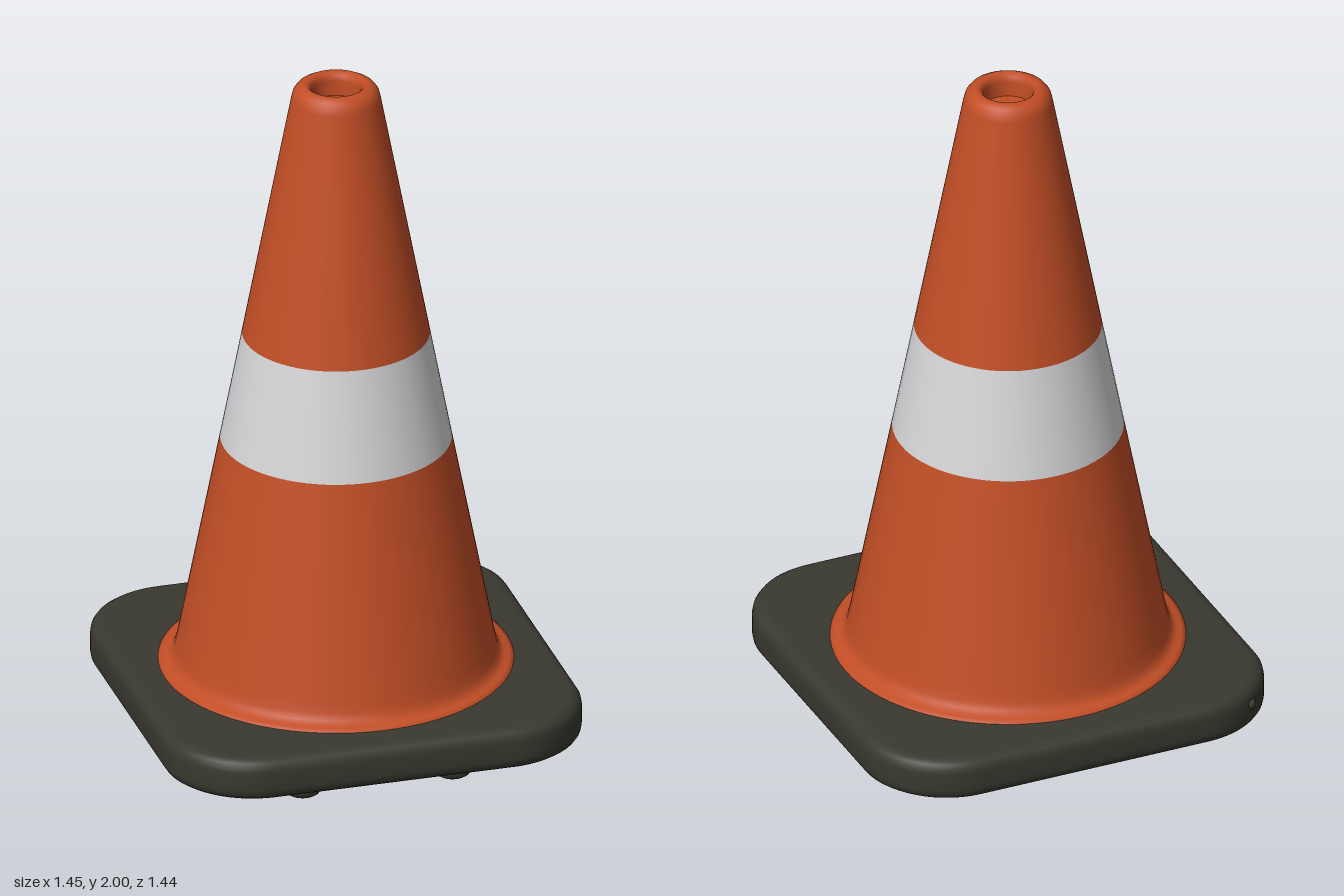
import * as THREE from 'three';
import { toCreasedNormals } from 'three/addons/utils/BufferGeometryUtils.js';

const TURN = -THREE.MathUtils.degToRad(24); // the base sits turned under the cone

// Rounded slab lying flat, from y0 to y1, with softened edges
function slab(width, depth, radius, y0, y1, bevel) {
  const x = width / 2 - radius, y = depth / 2 - radius;
  const shape = new THREE.Shape();
  shape.absarc(x, y, radius, 0, Math.PI / 2);
  shape.absarc(-x, y, radius, Math.PI / 2, Math.PI);
  shape.absarc(-x, -y, radius, Math.PI, Math.PI * 1.5);
  shape.absarc(x, -y, radius, Math.PI * 1.5, Math.PI * 2);
  shape.closePath();
  const geo = new THREE.ExtrudeGeometry(shape, {
    depth: y1 - y0 - 2 * bevel, curveSegments: 12,
    bevelThickness: bevel, bevelSize: bevel, bevelOffset: -bevel, bevelSegments: 4,
  });
  geo.translate(0, 0, bevel);
  geo.rotateX(-Math.PI / 2);
  geo.translate(0, y0, 0);
  return toCreasedNormals(geo, 0.7);
}

function lathe(points) {
  return new THREE.LatheGeometry(points.map(([r, y]) => new THREE.Vector2(r, y)), 72);
}

export function createModel() {
  const orange = new THREE.MeshStandardMaterial({ color: 0xc24e26 });
  orange.name = 'orange plastic';
  const white = new THREE.MeshStandardMaterial({ color: 0xd6d6d9 });
  white.name = 'white band';
  const rubber = new THREE.MeshStandardMaterial({ color: 0x393930 });
  rubber.name = 'dark rubber';

  const model = new THREE.Group();
  model.name = 'trafficCone';
  const add = (name, geo, mat, parent = model) => {
    const mesh = new THREE.Mesh(geo, mat);
    mesh.name = name;
    parent.add(mesh);
    return mesh;
  };

  // Cone wall: flared foot, band, then tip with rounded lip and recessed hole
  add('lowerCone', lathe([
    [0.505, 0.19], [0.503, 0.207], [0.49, 0.213], [0.475, 0.216], [0.463, 0.226],
    [0.456, 0.245], [0.449, 0.275], [0.328, 0.9],
  ]), orange);
  add('reflectiveBand', lathe([[0.328, 0.9], [0.266, 1.225]]), white);
  add('upperCone', lathe([
    [0.266, 1.225], [0.127, 1.955], [0.122, 1.975], [0.111, 1.99], [0.095, 1.999],
    [0.082, 1.998], [0.073, 1.99], [0.07, 1.975], [0.07, 1.93],
  ]), orange);
  const floor = add('holeFloor', new THREE.CircleGeometry(0.071, 48), orange);
  floor.rotation.x = -Math.PI / 2;
  floor.position.y = 1.93;

  // Rounded square base
  const base = new THREE.Group();
  base.name = 'base';
  base.rotation.y = TURN;
  model.add(base);
  add('basePlate', slab(1.22, 1.22, 0.26, 0.08, 0.206, 0.035), rubber, base);

  // Three crossing bars make the six-armed foot underneath
  const bar = slab(1.05, 0.11, 0.054, 0, 0.1, 0.022);
  for (const degrees of [28, 90, 152]) {
    add('footRib', bar, rubber, base).rotation.y = -THREE.MathUtils.degToRad(degrees);
  }

  // Small moulding nub on the base edge
  const nub = add('mouldingNub', new THREE.SphereGeometry(0.018, 12, 8), rubber);
  nub.position.set(-0.71, 0.155, 0.23);

  return model;
}
